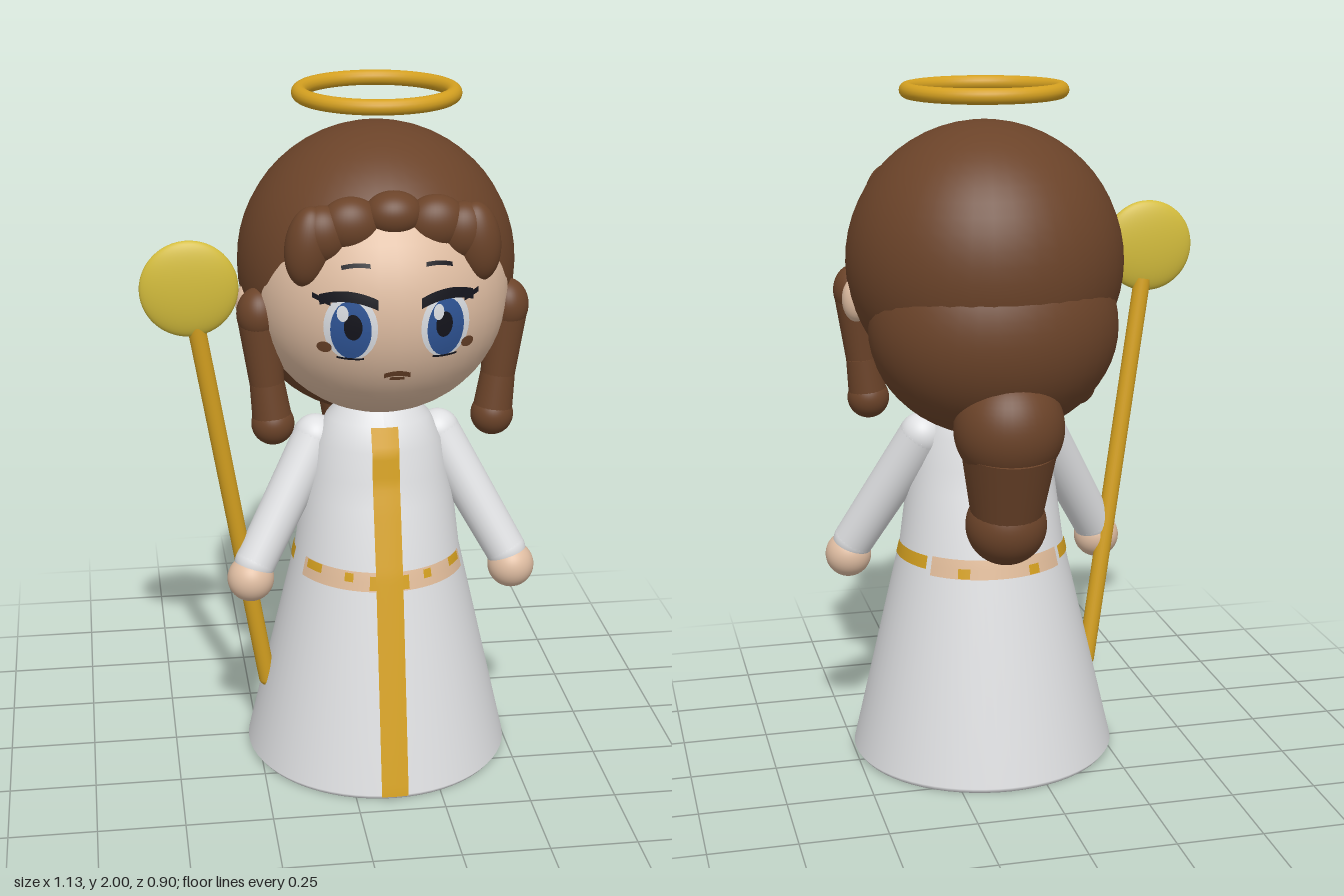
import * as THREE from 'three';

const mat = (name, color) => {
  const m = new THREE.MeshStandardMaterial({ color });
  m.name = name;
  return m;
};

export function createModel() {
  const hair = mat('hairBrown', 0x6b4329), skin = mat('skin', 0xdfbda2), cloth = mat('robeWhite', 0xdfe0e2);
  const gold = mat('gold', 0xd4a020), yellow = mat('discYellow', 0xd3bc3c), peach = mat('beltPeach', 0xe2bd9b);
  const blue = mat('irisBlue', 0x2f5597), black = mat('lashBlack', 0x14141c), white = mat('eyeWhite', 0xdcdfe4);

  const model = new THREE.Group();
  model.name = 'angelFigure';
  // everything but the staff is symmetric about this group's x = 0
  const figure = new THREE.Group();
  figure.name = 'figure';
  figure.position.x = 0.11;
  model.add(figure);

  const add = (name, geo, material, parent = figure) => {
    const mesh = new THREE.Mesh(geo, material);
    mesh.name = name;
    parent.add(mesh);
    return mesh;
  };
  const ball = (name, material, p, r, parent) => {
    const m = add(name, new THREE.SphereGeometry(1, 40, 28), material, parent);
    m.position.set(...p);
    m.scale.set(...(Array.isArray(r) ? r : [r, r, r]));
    return m;
  };
  const limb = (name, material, a, b, ra, rb, parent) => {
    const p = new THREE.Vector3(...a), q = new THREE.Vector3(...b), d = q.clone().sub(p);
    const m = add(name, new THREE.CylinderGeometry(rb, ra, d.length(), 28), material, parent);
    m.position.copy(p).add(q).multiplyScalar(0.5);
    m.quaternion.setFromUnitVectors(new THREE.Vector3(0, 1, 0), d.normalize());
    return m;
  };
  // move every vertex by a rule
  const warp = (geo, rule) => {
    const pos = geo.attributes.position;
    for (let i = 0; i < pos.count; i++) pos.setXYZ(i, ...rule(pos.getX(i), pos.getY(i), pos.getZ(i)));
    geo.computeVertexNormals();
    return geo;
  };

  // robe: turned profile, widened sideways at the chest
  const robeZ = 0.056;
  const profile = [[0, 0], [0.378, 0], [0.39, 0.016], [0.243, 0.65], [0.19, 0.83], [0.168, 0.9],
    [0.155, 0.99], [0.125, 1.06], [0.08, 1.12]];
  const radius = (y) => {
    for (let i = 2; i < profile.length; i++) {
      const [r1, y1] = profile[i], [r0, y0] = profile[i - 1];
      if (y <= y1) return r0 + (r1 - r0) * (y - y0) / (y1 - y0);
    }
    return 0.08;
  };
  const widen = (y) => 1 + 0.2 * THREE.MathUtils.smoothstep(y, 0.65, 0.9);
  const robe = new THREE.LatheGeometry(profile.map(([r, y]) => new THREE.Vector2(r, y)), 64);
  add('robe', warp(robe, (x, y, z) => [x * widen(y), y, z + robeZ]), cloth);

  // trim: thin faces that follow the robe
  const stripe = new THREE.PlaneGeometry(0.078, 1.045, 6, 60);
  add('robeStripe', warp(stripe, (x, y) => {
    const h = y + 0.5375, r = radius(h) + 0.007;
    return [x, h, robeZ + r * Math.sqrt(1 - (x / (r * widen(h))) ** 2)];
  }), gold);
  const beltPatch = (name, material, from, to, y0, y1, lift) => {
    const geo = new THREE.PlaneGeometry(1, 1, 12, 4);
    add(name, warp(geo, (u, v) => {
      const a = THREE.MathUtils.degToRad(from + (to - from) * (u + 0.5));
      const y = y0 + (y1 - y0) * (v + 0.5), r = radius(y) + lift;
      return [r * Math.sin(a) * widen(y), y, robeZ + r * Math.cos(a)];
    }), material);
  };
  for (const s of [1, -1]) {
    const band = (n, m, a, b, y0, y1, l) => beltPatch(n, m, ...(s > 0 ? [a, b] : [-b, -a]), y0, y1, l);
    band('beltFront', peach, 9, 66, 0.605, 0.66, 0.004);
    band('beltFrontSpot', gold, 24, 30, 0.63, 0.655, 0.006);
    band('beltFrontSpot', gold, 48, 62, 0.635, 0.66, 0.006);
    band('beltKnot', gold, 8, 13, 0.61, 0.65, 0.006);
    band('beltSide', gold, 84, 128, 0.62, 0.657, 0.004);
    band('beltBack', peach, 132, 180, 0.605, 0.66, 0.004);
    band('beltBackSpot', gold, 152, 160, 0.607, 0.635, 0.006);
  }

  // arms and hands
  for (const s of [1, -1]) {
    const arm = new THREE.Group();
    arm.name = s > 0 ? 'leftArm' : 'rightArm';
    figure.add(arm);
    const shoulder = [s * 0.18, 0.985, 0.035], wrist = [s * 0.37, 0.645, 0.145];
    ball('shoulder', cloth, shoulder, 0.067, arm);
    limb('sleeve', cloth, shoulder, wrist, 0.067, 0.06, arm);
    ball('cuff', cloth, wrist, 0.06, arm);
    ball('hand', skin, [s * 0.385, 0.6, 0.155], 0.068, arm);
  }

  // head and hair masses
  const faceC = [0, 1.45, 0.07], faceR = 0.362;
  ball('face', skin, faceC, faceR);
  ball('hairCap', hair, [0, 1.5, -0.01], 0.395);
  ball('hairBack', hair, [0, 1.33, -0.12], [0.355, 0.31, 0.3]);
  ball('ponytailTop', hair, [0, 1.08, -0.3], [0.155, 0.16, 0.145]);
  limb('ponytailMiddle', hair, [0, 1.02, -0.3], [0, 0.8, -0.265], 0.135, 0.098);
  ball('ponytailEnd', hair, [0, 0.79, -0.262], 0.115);

  // bangs: row of lobes over the forehead
  ball('bangCentre', hair, [0, 1.712, 0.3], [0.08, 0.062, 0.065]);
  for (const s of [1, -1]) {
    ball('bangInner', hair, [s * 0.115, 1.685, 0.3], [0.085, 0.076, 0.062]);
    ball('bangOuter', hair, [s * 0.19, 1.66, 0.3], [0.075, 0.08, 0.06]);
    ball('bangEnd', hair, [s * 0.23, 1.63, 0.305], [0.063, 0.11, 0.056]).rotation.z = s * 0.12;

    // ears and hanging side curls
    ball('ear', skin, [s * 0.365, 1.395, 0.03], [0.04, 0.064, 0.04]);
    ball('curlTop', hair, [s * 0.35, 1.4, 0.145], [0.062, 0.075, 0.066]);
    limb('curlUpper', hair, [s * 0.35, 1.39, 0.145], [s * 0.33, 1.2, 0.15], 0.06, 0.049);
    limb('curlLower', hair, [s * 0.33, 1.2, 0.15], [s * 0.315, 1.08, 0.155], 0.049, 0.057);
    ball('curlEnd', hair, [s * 0.315, 1.078, 0.155], 0.061);
  }

  // painted face: flat pieces pressed onto the face sphere
  const press = (name, geo, material, cx, cy, layer) => add(name, warp(geo, (x, y) => {
    const px = x + cx, py = y + cy, r = faceR + 0.002 + layer * 0.0015;
    return [px, py, faceC[2] + Math.sqrt(r * r - px * px - (py - faceC[1]) ** 2)];
  }), material);
  const oval = (rx, ry) => new THREE.RingGeometry(0.001, 1, 28, 5).scale(rx, ry, 1);
  const bar = (w, h, bend = 0, slope = 0) =>
    warp(new THREE.PlaneGeometry(w, h, 12, 3), (x, y) => [x, y - bend * x * x + slope * x, 0]);
  for (const s of [1, -1]) {
    const ex = s * 0.128;
    press('eyeWhite', oval(0.07, 0.092), white, ex, 1.43, 0);
    press('iris', oval(0.053, 0.082), blue, ex, 1.425, 1);
    press('pupil', oval(0.024, 0.036), black, ex - s * 0.005, 1.435, 2);
    press('eyeGlint', oval(0.015, 0.022), white, ex - 0.022, 1.472, 3);
    press('upperLash', bar(0.15, 0.028, 3, s * 0.03), black, ex + s * 0.005, 1.518, 3);
    press('lashTip', bar(0.045, 0.014, 0, s * 0.35), black, ex + s * 0.075, 1.505, 3);
    press('lowerLash', bar(0.07, 0.006, -2), black, ex, 1.342, 2);
    press('eyebrow', bar(0.075, 0.011, 3, -s * 0.1), black, s * 0.112, 1.597, 1);
    press('cheekMark', oval(0.019, 0.016), hair, s * 0.195, 1.37, 1);
  }
  press('mouth', bar(0.072, 0.016, 6), hair, 0, 1.297, 1);
  press('lowerLip', bar(0.04, 0.01), hair, 0, 1.28, 1);

  // halo
  const halo = add('halo', new THREE.TorusGeometry(0.215, 0.022, 16, 64), gold);
  halo.rotation.x = Math.PI / 2;
  halo.position.set(0, 1.978, -0.012);

  // staff with a lens-shaped head
  const staff = new THREE.Group();
  staff.name = 'staff';
  model.add(staff);
  limb('staffRod', gold, [-0.224, 0.23, 0.075], [-0.417, 1.39, 0.172], 0.025, 0.025, staff);
  ball('staffTip', gold, [-0.224, 0.23, 0.075], 0.025, staff);
  ball('staffDisc', yellow, [-0.433, 1.488, 0.177], [0.136, 0.136, 0.033], staff);

  return model;
}
